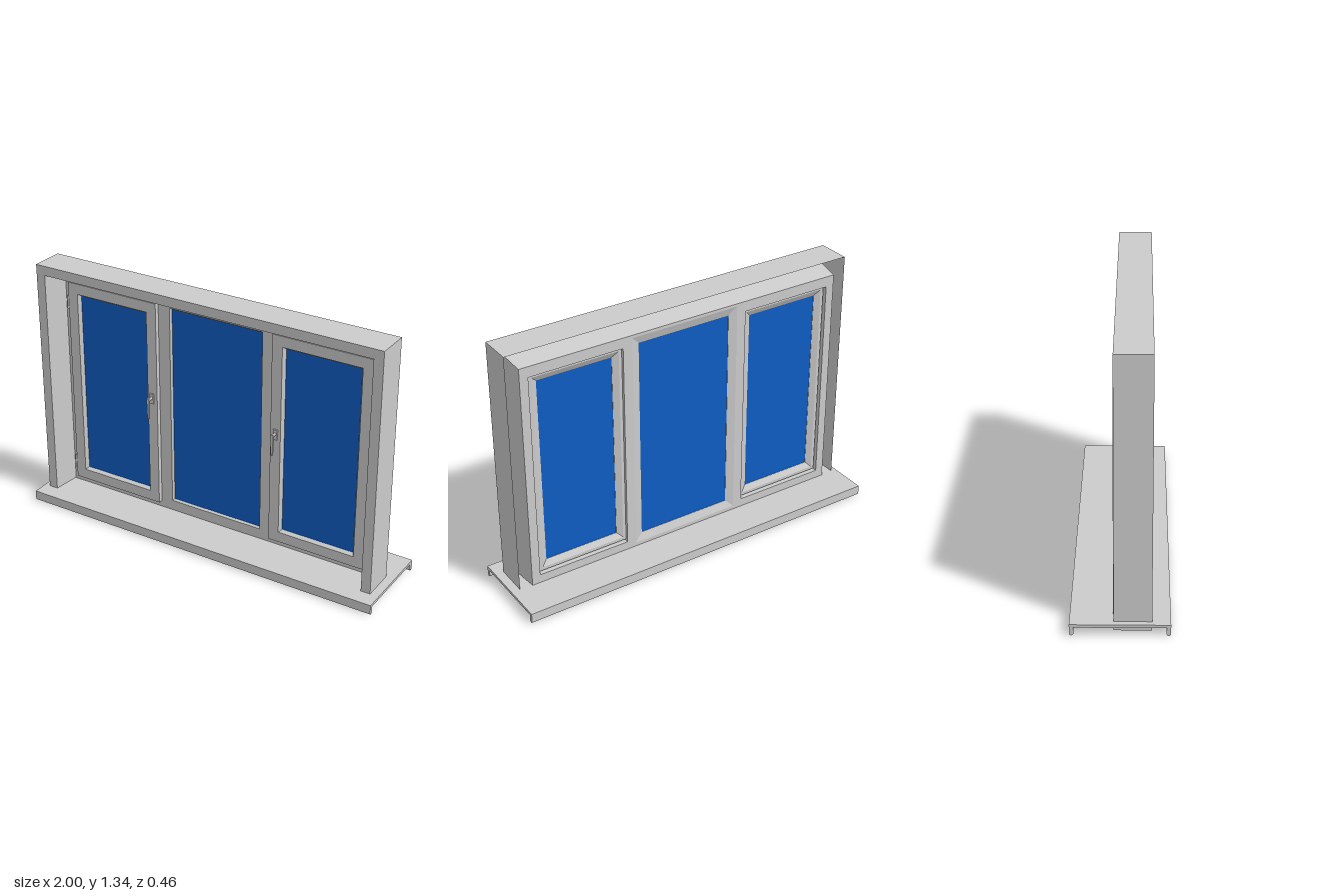
import * as THREE from 'three';

const grey = new THREE.MeshStandardMaterial({ color: 0xcccccc, side: THREE.DoubleSide });
const blue = new THREE.MeshStandardMaterial({ color: 0x0f5dc3, side: THREE.DoubleSide });

function add(parent, name, geometry, material = grey, x = 0, y = 0, z = 0) {
  const mesh = new THREE.Mesh(geometry, material);
  mesh.name = name;
  mesh.position.set(x, y, z);
  parent.add(mesh);
  return mesh;
}

// Joins a series of rectangles { x0, x1, y0, y1, z } with flat mitred faces.
// Sides run bottom, right, top, left; firstSide = 1 leaves the bottom open.
function rectLoft(rects, firstSide = 0) {
  const pos = [];
  const corner = (r, i) => [
    [r.x0, r.y0, r.z], [r.x1, r.y0, r.z], [r.x1, r.y1, r.z], [r.x0, r.y1, r.z],
  ][i % 4];
  for (let j = 0; j < rects.length - 1; j++) {
    for (let i = firstSide; i < 4; i++) {
      const a = corner(rects[j], i), b = corner(rects[j], i + 1);
      const c = corner(rects[j + 1], i + 1), d = corner(rects[j + 1], i);
      pos.push(...a, ...b, ...c, ...a, ...c, ...d);
    }
  }
  const g = new THREE.BufferGeometry();
  g.setAttribute('position', new THREE.Float32BufferAttribute(pos, 3));
  g.computeVertexNormals();
  return g;
}

// Closed picture-frame moulding; profile points are [inset, z]
function moulding(x0, x1, y0, y1, profile) {
  return rectLoft([...profile, profile[0]].map(([d, z]) => (
    { x0: x0 + d, x1: x1 - d, y0: y0 + d, y1: y1 - d, z })));
}

function rectPath(x0, x1, y0, y1, PathType = THREE.Path) {
  return new PathType([[x0, y0], [x1, y0], [x1, y1], [x0, y1]].map(p => new THREE.Vector2(...p)));
}

function pane(parent, name, x0, x1, y0, y1, z) {
  add(parent, name, new THREE.BoxGeometry(x1 - x0, y1 - y0, 0.004), blue, (x0 + x1) / 2, (y0 + y1) / 2, z);
}

// Sill board with a rounded lip hanging down at the front and the back
function sillGeometry() {
  const s = new THREE.Shape();
  s.moveTo(-0.23, 0.055);
  s.lineTo(-0.23, 0.01);
  s.absarc(-0.22, 0.01, 0.01, Math.PI, Math.PI * 2, false);
  s.lineTo(-0.21, 0.04);
  s.lineTo(0.21, 0.04);
  s.lineTo(0.21, 0.01);
  s.absarc(0.22, 0.01, 0.01, Math.PI, Math.PI * 2, false);
  s.lineTo(0.23, 0.055);
  s.closePath();
  const g = new THREE.ExtrudeGeometry(s, { depth: 2, bevelEnabled: false, curveSegments: 6 });
  return g.translate(0, 0, -1).rotateY(Math.PI / 2);
}

// Rosette, neck and hanging lever
function handle(x) {
  const g = new THREE.Group();
  g.name = 'handle';
  g.position.set(x, 0.695, 0.025);
  add(g, 'handleRosette', new THREE.BoxGeometry(0.022, 0.055, 0.008), grey, 0, 0, 0.004);
  add(g, 'handleNeck', new THREE.CylinderGeometry(0.007, 0.007, 0.03, 12).rotateX(Math.PI / 2), grey, 0, 0.005, 0.02);
  const lever = new THREE.Shape();
  lever.moveTo(-0.008, 0.014);
  lever.lineTo(-0.005, -0.1);
  lever.lineTo(0.005, -0.1);
  lever.lineTo(0.008, 0.014);
  add(g, 'handleLever', new THREE.ExtrudeGeometry(lever, { depth: 0.01, bevelEnabled: false }), grey, 0, 0, 0.03);
  return g;
}

export function createModel() {
  const model = new THREE.Group();
  model.name = 'window';
  add(model, 'sill', sillGeometry());

  const unit = new THREE.Group();
  unit.name = 'windowUnit';
  unit.position.x = -0.0075;
  model.add(unit);

  // Casing: hollow at the back, with splayed reveals
  const casing = [
    [0.9625, 0.01, 1.335, -0.03], [0.9625, 0.01, 1.335, 0.145],
    [0.9125, 0.01, 1.285, 0.145], [0.895, 0.01, 1.255, -0.03],
  ].map(([x, y0, y1, z]) => ({ x0: -x, x1: x, y0, y1, z }));
  add(unit, 'casing', rectLoft(casing, 1));
  add(unit, 'casingFoot', new THREE.BoxGeometry(1.925, 0.035, 0.005), grey, 0, 0.0275, 0.1425);

  // Fixed frame with three openings
  const frame = rectPath(-0.895, 0.895, 0.05, 1.255, THREE.Shape);
  frame.holes.push(
    rectPath(-0.85, -0.35, 0.1, 1.2),
    rectPath(-0.2995, 0.2995, 0.075, 1.24),
    rectPath(0.35, 0.85, 0.1, 1.2));
  add(unit, 'frame', new THREE.ExtrudeGeometry(frame, { depth: 0.033, bevelEnabled: false }), grey, 0, 0, -0.033);

  // Fixed centre light
  add(unit, 'centreBead', moulding(-0.2995, 0.2995, 0.075, 1.24,
    [[0, 0], [0.036, 0], [0.042, -0.01], [0.042, -0.02], [0, -0.033]]));
  pane(unit, 'centreGlass', -0.26, 0.26, 0.114, 1.201, -0.016);

  // Opening sashes, mirrored
  const sashProfile = [
    [0, 0], [0, 0.025], [0.056, 0.025], [0.066, 0.008],
    [0.066, -0.002], [0.036, -0.018], [0.019, -0.018], [0.019, 0],
  ];
  for (const side of [-1, 1]) {
    const sash = new THREE.Group();
    sash.name = side > 0 ? 'leftSash' : 'rightSash';
    unit.add(sash);
    const [x0, x1] = side > 0 ? [0.33, 0.8625] : [-0.8625, -0.33];
    add(sash, 'sashFrame', moulding(x0, x1, 0.09, 1.22, sashProfile));
    pane(sash, 'sashGlass', x0 + 0.064, x1 - 0.064, 0.154, 1.156, 0.002);
    sash.add(handle(side * 0.36));
    for (const y of [0.178, 1.105]) {
      add(sash, 'hinge', new THREE.CylinderGeometry(0.007, 0.007, 0.072, 10), grey, side * 0.87, y, 0.018);
    }
  }
  return model;
}
